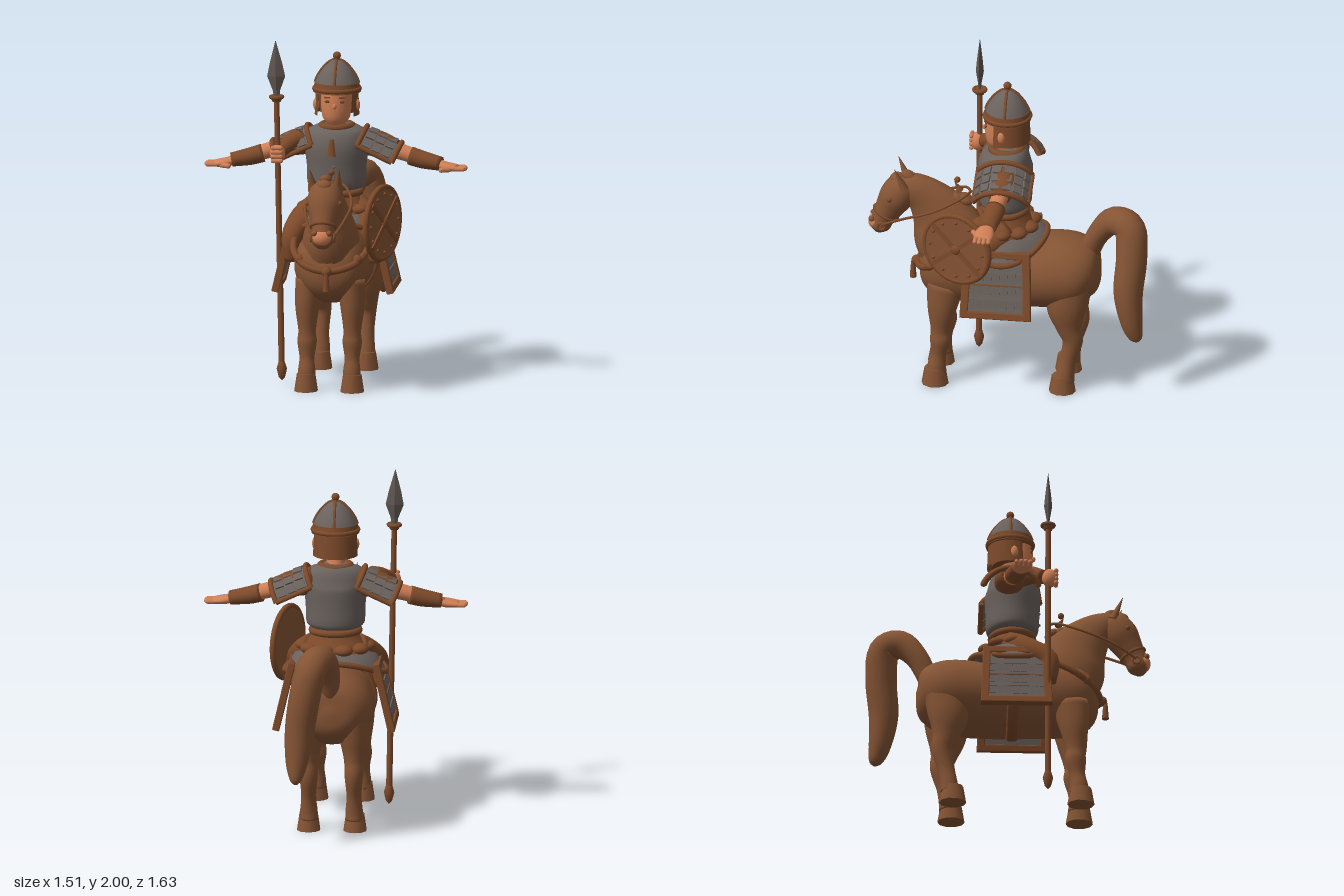
import * as THREE from 'three';

const mat = (name, color, side = THREE.FrontSide) => {
  const m = new THREE.MeshStandardMaterial({ color, side });
  m.name = name;
  return m;
};
const V = (p) => new THREE.Vector3(p[0], p[1], p[2]);

export function createModel() {
  const hide = mat('brown hide', 0x855434);
  const leather = mat('brown leather', 0x7d4a2a, THREE.DoubleSide);
  const steel = mat('grey steel', 0x6b625d, THREE.DoubleSide);
  const blade = mat('dark steel', 0x5f5550);
  const skin = mat('skin', 0xcf7f55);
  const model = new THREE.Group();
  model.name = 'mountedSoldier';

  const add = (parent, name, geo, material, p = [0, 0, 0], r = [0, 0, 0], s = [1, 1, 1]) => {
    const m = new THREE.Mesh(geo, material);
    m.name = name;
    m.position.set(...p); m.rotation.set(...r); m.scale.set(...s);
    parent.add(m);
    return m;
  };
  const group = (name, parent = model) => {
    const g = new THREE.Group();
    g.name = name;
    parent.add(g);
    return g;
  };
  const ball = (parent, name, r, material, p, s) =>
    add(parent, name, new THREE.SphereGeometry(r, 16, 12), material, p, [0, 0, 0], s);
  const tube = (parent, name, pts, r, material, closed = false) =>
    add(parent, name, new THREE.TubeGeometry(new THREE.CatmullRomCurve3(pts.map(V), closed), closed ? 64 : 24, r, 8, closed), material);

  // Smooth loft through rows of [x, y, z, width radius, depth radius]
  function limb(parent, name, rows, material, side = [1, 0, 0], n = 24) {
    const path = new THREE.CatmullRomCurve3(rows.map(V), false, 'catmullrom');
    const size = new THREE.CatmullRomCurve3(rows.map((r) => new THREE.Vector3(r[3], r[4], 0)), false, 'catmullrom');
    const steps = (rows.length - 1) * 5, pos = [], idx = [];
    for (let i = 0; i <= steps; i++) {
      const t = i / steps, c = path.getPoint(t), w = size.getPoint(t), T = path.getTangent(t);
      const N = T.clone().cross(V(side)).normalize(), S = N.clone().cross(T);
      for (let j = 0; j < n; j++) {
        const a = (j / n) * Math.PI * 2;
        const p = c.clone().addScaledVector(S, Math.cos(a) * w.x).addScaledVector(N, Math.sin(a) * w.y);
        pos.push(p.x, p.y, p.z);
        if (i < steps) {
          const k = i * n + j, l = i * n + (j + 1) % n;
          idx.push(k, l, k + n, l, l + n, k + n);
        }
      }
    }
    const end = (steps + 1) * n, first = rows[0], last = rows[rows.length - 1];
    pos.push(...first.slice(0, 3), ...last.slice(0, 3));
    for (let j = 0; j < n; j++) {
      const l = (j + 1) % n;
      idx.push(end, l, j, end + 1, steps * n + j, steps * n + l);
    }
    const g = new THREE.BufferGeometry();
    g.setAttribute('position', new THREE.Float32BufferAttribute(pos, 3));
    g.setIndex(idx);
    g.computeVertexNormals();
    return add(parent, name, g, material);
  }

  // Horse
  const horse = group('horse');
  limb(horse, 'horseBody', [[0, 0.72, -0.53, 0.03, 0.03], [0, 0.72, -0.505, 0.14, 0.13], [0, 0.725, -0.42, 0.222, 0.195],
    [0, 0.72, -0.28, 0.245, 0.217], [0, 0.70, -0.05, 0.232, 0.208], [0, 0.715, 0.18, 0.216, 0.22],
    [0, 0.72, 0.36, 0.205, 0.215], [0, 0.725, 0.47, 0.15, 0.155], [0, 0.73, 0.515, 0.03, 0.03]], hide, [1, 0, 0], 36);
  limb(horse, 'neck', [[0, 0.74, 0.28, 0.18, 0.2], [0, 0.9, 0.34, 0.155, 0.215], [0, 1.03, 0.4, 0.11, 0.175],
    [0, 1.13, 0.48, 0.085, 0.125], [0, 1.19, 0.57, 0.075, 0.085], [0, 1.2, 0.62, 0.05, 0.05]], hide);
  limb(horse, 'horseHead', [[0, 1.245, 0.58, 0.03, 0.03], [0, 1.21, 0.6, 0.085, 0.08], [0, 1.13, 0.645, 0.1, 0.1],
    [0, 1.05, 0.69, 0.078, 0.083], [0, 0.98, 0.728, 0.062, 0.068], [0, 0.925, 0.748, 0.062, 0.06], [0, 0.89, 0.758, 0.025, 0.025]], hide);
  ball(horse, 'muzzle', 0.05, skin, [0, 0.955, 0.772], [1.1, 0.95, 0.85]);
  limb(horse, 'tail', [[0, 0.84, -0.46, 0.05, 0.06], [0.01, 0.97, -0.52, 0.07, 0.065], [0.04, 1.07, -0.61, 0.085, 0.08],
    [0.09, 1.05, -0.71, 0.09, 0.09], [0.13, 0.88, -0.725, 0.09, 0.09], [0.16, 0.68, -0.71, 0.085, 0.085],
    [0.175, 0.5, -0.73, 0.065, 0.065], [0.18, 0.4, -0.755, 0.035, 0.04], [0.18, 0.37, -0.76, 0.008, 0.008]], hide);
  // Mane locks follow the crest, with a forelock between the ears
  for (let i = 0; i < 8; i++) {
    const t = i / 7;
    add(horse, 'maneLock', new THREE.SphereGeometry(0.06, 12, 8), hide,
      [0, 1.13 + 0.13 * t - 0.02 * Math.sin(t * 3), 0.25 + 0.33 * t], [-0.5, 0, 0], [0.85 - 0.25 * t, 0.5, 0.8]);
  }
  ball(horse, 'forelock', 0.05, hide, [0, 1.235, 0.645], [0.9, 0.7, 0.9]);

  for (const s of [1, -1]) {
    const half = group(s > 0 ? 'horseLeftSide' : 'horseRightSide', horse);
    half.scale.x = s;
    add(half, 'ear', new THREE.ConeGeometry(0.038, 0.15, 12), hide, [0.077, 1.27, 0.625], [0.4, 0, -0.12], [0.9, 1, 0.7]);
    ball(half, 'eye', 0.016, leather, [0.09, 1.14, 0.68]);
    ball(half, 'nostril', 0.017, hide, [0.042, 0.985, 0.79]);
    limb(half, 'frontLeg', [[0.12, 0.64, 0.35, 0.08, 0.11], [0.13, 0.49, 0.37, 0.07, 0.085], [0.13, 0.35, 0.38, 0.051, 0.056],
      [0.13, 0.28, 0.38, 0.056, 0.06], [0.13, 0.19, 0.39, 0.043, 0.045], [0.13, 0.12, 0.4, 0.05, 0.052], [0.13, 0.07, 0.4, 0.052, 0.055]], hide);
    limb(half, 'hindLeg', [[0.12, 0.7, -0.36, 0.1, 0.13], [0.135, 0.54, -0.35, 0.088, 0.115], [0.135, 0.42, -0.365, 0.063, 0.078],
      [0.13, 0.33, -0.385, 0.053, 0.06], [0.13, 0.21, -0.36, 0.043, 0.048], [0.13, 0.12, -0.345, 0.05, 0.05], [0.13, 0.07, -0.34, 0.052, 0.055]], hide);
    for (const z of [0.41, -0.325])
      add(half, 'hoof', new THREE.CylinderGeometry(0.054, 0.069, 0.1, 10).toNonIndexed(), hide, [0.133, 0.05, z], [0, 0, 0], [1, 1, 1.13]);

    // Saddle cloth panel: steel plate, leather frame, lamella rows
    const cloth = group('saddlePanel', half);
    cloth.position.set(0.287, 0.735, 0.035);
    cloth.rotation.z = 0.23;
    const panel = group('panelFace', cloth);
    panel.rotation.y = Math.PI / 2;
    const outline = (w, h, c) => {
      const o = new c();
      return o.moveTo(-w, -h), o.lineTo(w, -h), o.lineTo(w * 0.92, h), o.lineTo(-w * 0.92, h), o.closePath(), o;
    };
    const frame = outline(0.2, 0.195, THREE.Shape);
    frame.holes.push(outline(0.165, 0.165, THREE.Path));
    add(panel, 'panelFrame', new THREE.ExtrudeGeometry(frame, { depth: 0.03, bevelSize: 0.006, bevelThickness: 0.006, bevelSegments: 2 }), leather, [0, 0, -0.015]);
    add(panel, 'panelPlate', new THREE.BoxGeometry(0.345, 0.345, 0.02), steel);
    for (let r = 0; r < 3; r++) {
      add(panel, 'lamellaLace', new THREE.BoxGeometry(0.32, 0.008, 0.008), r === 1 ? leather : steel, [0, -0.08 + r * 0.08, 0.013]);
      for (let k = 0; k < 7; k++)
        add(panel, 'lamella', new THREE.BoxGeometry(0.04, 0.05, 0.006), steel, [-0.138 + k * 0.046, -0.11 + r * 0.08, 0.011], [0.06, 0, 0]);
    }

    // Reins and bridle
    tube(half, 'rein', [[0.065, 0.96, 0.73], [0.11, 1.03, 0.6], [0.13, 1.1, 0.42], [0.07, 1.17, 0.26], [0, 1.18, 0.22]], 0.008, leather);
    add(half, 'bitRing', new THREE.TorusGeometry(0.022, 0.007, 8, 16), leather, [0.066, 0.95, 0.73], [0, Math.PI / 2, 0]);
    limb(half, 'riderThigh', [[0.1, 1.0, 0, 0.09, 0.09], [0.18, 0.94, 0.1, 0.085, 0.08], [0.235, 0.86, 0.22, 0.06, 0.06], [0.24, 0.72, 0.22, 0.04, 0.045]], leather);
  }
  add(horse, 'noseBand', new THREE.TorusGeometry(0.068, 0.01, 8, 28), leather, [0, 1.01, 0.712], [1.08, 0, 0], [1, 1.08, 1]);
  const breast = [[0.22, 0.88, 0.2], [0.205, 0.8, 0.38], [0.13, 0.74, 0.485], [0, 0.715, 0.525]];
  tube(horse, 'breastStrap', [...breast, ...breast.slice(0, 3).reverse().map(([x, y, z]) => [-x, y, z])], 0.02, leather);
  for (const [x, y, z] of [[0.165, 0.77, 0.44], [-0.165, 0.77, 0.44], [0, 0.715, 0.535]])
    ball(horse, 'strapStud', 0.03, leather, [x, y, z]);
  add(horse, 'breastTassel', new THREE.CylinderGeometry(0.012, 0.02, 0.1, 10), leather, [0, 0.655, 0.555]);
  add(horse, 'girth', new THREE.TorusGeometry(0.222, 0.012, 8, 48), leather, [0, 0.705, 0.02], [0, 0, 0], [1.03, 0.97, 3]);
  add(horse, 'reinTassel', new THREE.ConeGeometry(0.022, 0.07, 10), leather, [0, 1.21, 0.3], [0.5, 0, 0]);
  ball(horse, 'reinKnot', 0.018, leather, [0, 1.25, 0.3]);

  // Armour skirt draped over the horse's back
  const drape = (x, t) => 0.09 * t * (1 - Math.min(1, (x / 0.29) ** 2));
  const rider = group('rider');
  const skirtGeo = new THREE.LatheGeometry([[0.29, 0.86], [0.265, 0.9], [0.23, 0.95], [0.17, 1.0]].map((p) => new THREE.Vector2(...p)), 48);
  const sp = skirtGeo.attributes.position;
  for (let i = 0; i < sp.count; i++) sp.setY(i, sp.getY(i) + drape(sp.getX(i), (1.0 - sp.getY(i)) / 0.14));
  skirtGeo.computeVertexNormals();
  add(rider, 'armourSkirt', skirtGeo, steel, [0, 0, 0.02], [0, 0, 0], [1, 1, 0.82]);
  const rim = [];
  for (let i = 0; i < 32; i++) {
    const a = (i / 32) * Math.PI * 2, x = 0.29 * Math.cos(a);
    rim.push([x, 0.86 + drape(x, 1), 0.02 + 0.24 * Math.sin(a)]);
  }
  tube(rider, 'skirtRim', rim, 0.017, leather, true);
  add(rider, 'tunicHem', new THREE.LatheGeometry([[0.205, 0.985], [0.175, 1.03], [0.14, 1.07], [0.12, 1.12]].map((p) => new THREE.Vector2(...p)), 32), leather, [0, 0, 0.02], [0, 0, 0], [1, 1, 0.85]);
  for (let i = 0; i < 10; i++) {
    const a = (i / 10) * Math.PI * 2;
    ball(rider, 'hemScallop', 0.055, leather, [0.175 * Math.cos(a), 1.005, 0.02 + 0.15 * Math.sin(a)], [1, 0.6, 1]);
  }
  add(rider, 'belt', new THREE.TorusGeometry(0.135, 0.02, 10, 36), leather, [0, 1.095, 0.02], [Math.PI / 2, 0, 0], [1, 0.9, 1]);

  // Cuirass
  limb(rider, 'cuirass', [[0, 1.12, 0.02, 0.145, 0.13], [0, 1.15, 0.02, 0.168, 0.15], [0, 1.25, 0.022, 0.172, 0.155],
    [0, 1.37, 0.022, 0.184, 0.158], [0, 1.45, 0.01, 0.165, 0.125], [0, 1.49, 0.01, 0.085, 0.08]], steel, [1, 0, 0], 32);
  add(rider, 'collar', new THREE.TorusGeometry(0.085, 0.022, 10, 32), leather, [0, 1.475, 0.015], [Math.PI / 2, 0, 0]);
  add(rider, 'chestMedallion', new THREE.CylinderGeometry(0.014, 0.03, 0.1, 6), leather, [-0.012, 1.37, 0.175], [-0.08, 0, 0], [1, 1, 0.5]);
  for (const y of [1.19, 1.26])
    for (const x of [-0.08, 0, 0.08]) ball(rider, 'cuirassRivet', 0.008, steel, [x, y, 0.176 - x * x * 4.5]);

  // Head and helmet
  limb(rider, 'face', [[0, 1.46, 0.02, 0.05, 0.05], [0, 1.505, 0.04, 0.055, 0.06], [0, 1.53, 0.045, 0.078, 0.085],
    [0, 1.6, 0.043, 0.088, 0.097], [0, 1.7, 0.035, 0.09, 0.1]], skin);
  ball(rider, 'nose', 0.015, skin, [0, 1.605, 0.142], [0.8, 1.1, 0.8]);
  const hood = 1.9 * Math.PI / 2 + 1.4;
  add(rider, 'neckGuard', new THREE.CylinderGeometry(0.122, 0.128, 0.15, 32, 1, true, Math.PI - hood / 2, hood), leather, [0, 1.615, 0.005]);
  add(rider, 'backOfHead', new THREE.CylinderGeometry(0.115, 0.1, 0.14, 24), leather, [0, 1.62, -0.015], [0, 0, 0], [1, 1, 0.8]);
  add(rider, 'helmetBand', new THREE.CylinderGeometry(0.128, 0.137, 0.055, 32), leather, [0, 1.7, 0.01]);
  add(rider, 'helmetBandRim', new THREE.TorusGeometry(0.129, 0.014, 8, 36), leather, [0, 1.69, 0.01], [Math.PI / 2, 0, 0]);
  const dome = [[0.127, 1.725], [0.11, 1.765], [0.075, 1.815], [0.035, 1.85], [0.001, 1.862]];
  add(rider, 'helmetDome', new THREE.LatheGeometry(dome.map((p) => new THREE.Vector2(...p)), 16), steel, [0, 0, 0.01]);
  for (let i = 0; i < 4; i++) {
    const a = (i / 4) * Math.PI * 2;
    tube(rider, 'helmetRib', dome.map(([r, y]) => [r * Math.cos(a), y, 0.01 + r * Math.sin(a)]), 0.008, leather);
  }
  add(rider, 'finialStem', new THREE.CylinderGeometry(0.012, 0.02, 0.04, 12), leather, [0, 1.865, 0.01]);
  ball(rider, 'finial', 0.023, leather, [0, 1.88, 0.01]);

  // Arms, bracers, hands and shoulder plates
  for (const s of [1, -1]) {
    const arm = group(s > 0 ? 'leftArm' : 'rightArm', rider);
    arm.scale.x = s;
    const zs = [0, 0, 1];
    ball(arm, 'eye', 0.013, leather, [0.043, 1.632, 0.13], [1.1, 0.7, 0.6]);
    add(arm, 'eyebrow', new THREE.BoxGeometry(0.035, 0.008, 0.008), leather, [0.043, 1.655, 0.13], [0, 0.4, 0]);
    ball(arm, 'earLobe', 0.022, skin, [0.118, 1.6, 0.03], [0.8, 1.6, 1]);
    limb(arm, 'sleeve', [[0.12, 1.39, 0, 0.085, 0.08], [0.24, 1.37, 0, 0.085, 0.075], [0.345, 1.34, 0.01, 0.065, 0.055]], leather, zs);
    limb(arm, 'forearm', [[0.3, 1.345, 0.005, 0.05, 0.05], [0.38, 1.325, 0.012, 0.048, 0.046], [0.5, 1.29, 0.03, 0.045, 0.04], [0.62, 1.26, 0.045, 0.035, 0.025]], skin, zs);
    limb(arm, 'bracer', [[0.425, 1.307, 0.02, 0.058, 0.053], [0.5, 1.287, 0.03, 0.056, 0.05], [0.605, 1.268, 0.045, 0.05, 0.04]], leather, zs);
    limb(arm, 'palm', [[0.59, 1.265, 0.045, 0.04, 0.026], [0.64, 1.255, 0.055, 0.055, 0.026], [0.69, 1.25, 0.058, 0.054, 0.02], [0.705, 1.25, 0.06, 0.045, 0.012]], skin, zs);
    for (let f = 0; f < 4; f++)
      add(arm, 'finger', new THREE.CapsuleGeometry(0.0135, 0.06, 4, 8), skin, [0.705 + (f === 1 || f === 2 ? 0.008 : 0), 1.248, 0.02 + f * 0.026], [0, 0, Math.PI / 2]);
    add(arm, 'thumb', new THREE.CapsuleGeometry(0.015, 0.05, 4, 8), skin, [0.635, 1.245, 0.11], [0, 0.5, Math.PI / 2]);

    const plate = group('shoulderPlate', arm);
    plate.position.set(0.207, 1.285, 0.005);
    plate.rotation.z = 65 * Math.PI / 180;
    plate.scale.z = 1.08;
    add(plate, 'shoulderShell', new THREE.CylinderGeometry(0.15, 0.155, 0.22, 24, 1, true, Math.PI / 2 - 1.2, 2.4), steel);
    for (const y of [-0.11, 0.11])
      add(plate, 'shoulderBorder', new THREE.TorusGeometry(0.155, 0.015, 8, 24, 2.4), leather, [0, y, 0], [Math.PI / 2, 0, -1.2].map((v, i) => (i === 2 ? -1.2 : v)));
    for (const a of [-1.2, 1.2])
      add(plate, 'shoulderEdge', new THREE.CylinderGeometry(0.014, 0.014, 0.22, 8), leather, [0.155 * Math.cos(a), 0, 0.155 * Math.sin(a)]);
    for (let r = 0; r < 3; r++)
      for (let k = 0; k < 6; k++) {
        const a = -0.95 + k * 0.38;
        add(plate, 'shoulderLamella', new THREE.BoxGeometry(0.01, 0.05, 0.045), steel, [0.157 * Math.cos(a), 0.06 - r * 0.06, 0.157 * Math.sin(a)], [0, -a, 0.1]);
      }
  }

  // Spear with gripping fist
  const spear = group('spear');
  spear.position.set(-0.293, 0, 0.215);
  spear.rotation.z = 0.019;
  add(spear, 'spearShaft', new THREE.CylinderGeometry(0.016, 0.018, 1.6, 12), leather, [0, 0.87, 0]);
  add(spear, 'spearButt', new THREE.LatheGeometry([[0, 0.02], [0.018, 0.04], [0.03, 0.09], [0.018, 0.13]].map((p) => new THREE.Vector2(...p)), 12), leather);
  add(spear, 'spearCollar', new THREE.CylinderGeometry(0.042, 0.024, 0.035, 16), leather, [0, 1.66, 0]);
  add(spear, 'spearCollarRing', new THREE.TorusGeometry(0.034, 0.011, 8, 20), leather, [0, 1.67, 0], [Math.PI / 2, 0, 0]);
  const head = new THREE.LatheGeometry([[0.016, 1.67], [0.022, 1.71], [0.052, 1.79], [0.035, 1.87], [0, 2.0]].map((p) => new THREE.Vector2(...p)), 4).toNonIndexed();
  head.computeVertexNormals();
  add(spear, 'spearHead', head, blade, [0, 0, 0], [0, Math.PI / 2, 0], [0.45, 1, 1]);
  ball(spear, 'spearFist', 0.05, skin, [0, 1.34, 0.01], [0.9, 1.1, 0.9]);
  for (let f = 0; f < 4; f++)
    add(spear, 'fistFinger', new THREE.CapsuleGeometry(0.013, 0.045, 4, 8), skin, [0, 1.305 + f * 0.025, 0.045], [0, 0, Math.PI / 2]);
  limb(rider, 'spearArmCuff', [[-0.21, 1.4, 0.07, 0.06, 0.06], [-0.26, 1.385, 0.13, 0.05, 0.05], [-0.31, 1.35, 0.19, 0.04, 0.04]], leather, [0, 1, 0]);

  // Round shield with crossed straps and rivets
  const shield = group('shield');
  shield.position.set(0.29, 0.957, 0.262);
  shield.rotation.y = 69 * Math.PI / 180;
  add(shield, 'shieldBoard', new THREE.CylinderGeometry(0.2, 0.21, 0.025, 40), hide, [0, 0, 0], [Math.PI / 2, 0, 0]);
  add(shield, 'shieldRim', new THREE.TorusGeometry(0.207, 0.017, 10, 48), leather);
  for (const a of [0.7, -0.7]) add(shield, 'shieldStrap', new THREE.BoxGeometry(0.4, 0.026, 0.012), leather, [0, 0, 0.016], [0, 0, a]);
  ball(shield, 'shieldBoss', 0.03, leather, [0, 0, 0.018], [1, 1, 0.5]);
  for (let i = 0; i < 12; i++) {
    const a = (i / 12) * Math.PI * 2;
    ball(shield, 'shieldRivet', 0.01, leather, [0.17 * Math.cos(a), 0.17 * Math.sin(a), 0.014]);
  }
  return model;
}
